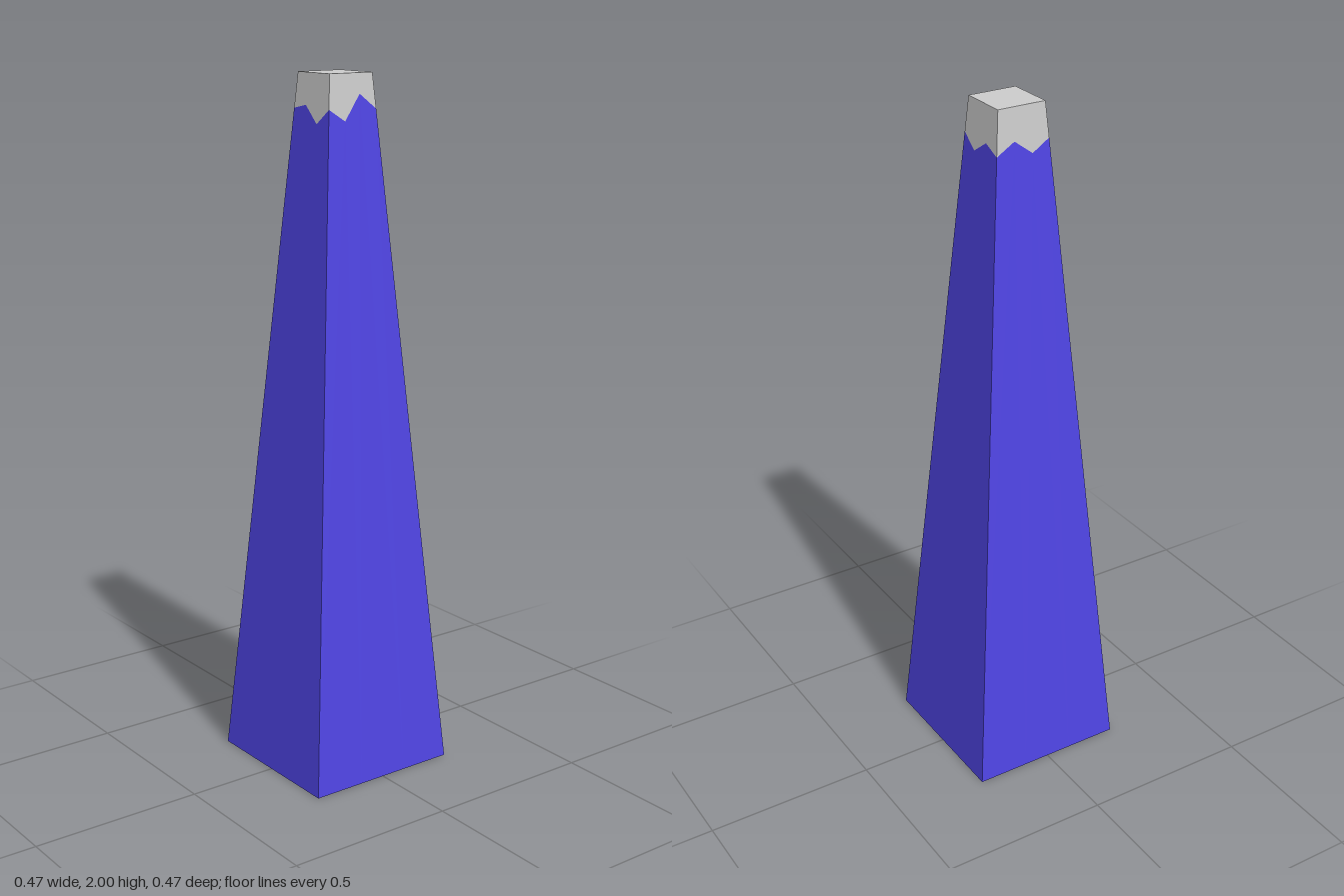
import * as THREE from 'three';

const BASE = 0.233, TOP = 0.072, HEIGHT = 2;

// Jagged colour line: three heights per side (corner, 1/3, 2/3), front > +x > back > -x
const seam = [
  1.902, 1.913, 1.865,
  1.906, 1.873, 1.944,
  1.902, 1.865, 1.9,
  1.878, 1.91, 1.87,
];

// Point on the tapered square shaft, i of 12 steps around, at height y
function wallPoint(i, y) {
  const half = BASE + (TOP - BASE) * y / HEIGHT;
  const across = half * (-1 + (i % 3) * 2 / 3);
  return new THREE.Vector3(across, y, half)
    .applyAxisAngle(new THREE.Vector3(0, 1, 0), Math.floor(i / 3) * Math.PI / 2);
}

// Section of the shaft between two rings of heights, with one end closed
function section(name, color, low, high, closeTop) {
  const points = [];
  const end = new THREE.Vector3(0, closeTop ? HEIGHT : 0, 0);
  for (let i = 0; i < 12; i++) {
    const j = (i + 1) % 12;
    const a = wallPoint(i, low(i)), b = wallPoint(j, low(j));
    const c = wallPoint(j, high(j)), d = wallPoint(i, high(i));
    points.push(a, b, c, a, c, d);
    if (closeTop) points.push(end, d, c);
    else points.push(end, b, a);
  }
  const geometry = new THREE.BufferGeometry().setFromPoints(points);
  geometry.computeVertexNormals();
  const mesh = new THREE.Mesh(geometry, new THREE.MeshStandardMaterial({ color, flatShading: true }));
  mesh.name = name;
  return mesh;
}

export function createModel() {
  const group = new THREE.Group();
  group.name = 'obelisk';
  const edge = (i) => seam[i];
  group.add(
    section('shaft', 0x4f44e3, () => 0, edge, false),
    section('tip', 0xcccccc, edge, () => HEIGHT, true),
  );
  return group;
}
